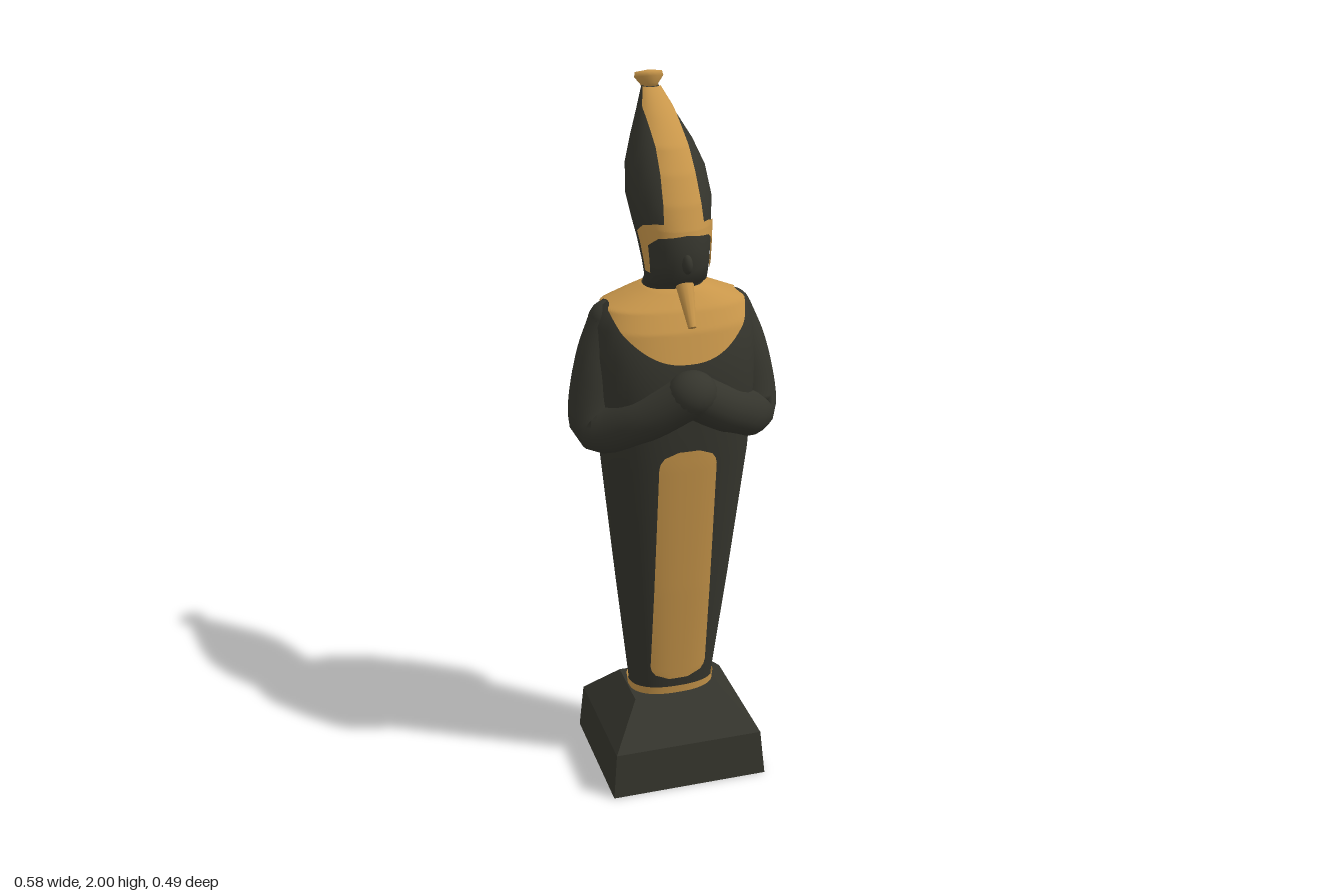
import * as THREE from 'three';
import { mergeVertices } from 'three/addons/utils/BufferGeometryUtils.js';

const dark = new THREE.MeshStandardMaterial({ color: 0x35352d });
dark.name = 'dark bronze';
const gold = new THREE.MeshStandardMaterial({ color: 0xc8964a, side: THREE.DoubleSide });
gold.name = 'gold';

const { lerp, clamp, degToRad } = THREE.MathUtils;

// Cross-sections: [y, half width, front z, back z]
const BODY = [
  [0.22, 0.118, 0.056, -0.098], [0.25, 0.12, 0.06, -0.1], [0.6, 0.16, 0.108, -0.11],
  [1.0, 0.203, 0.157, -0.12], [1.2, 0.215, 0.175, -0.12], [1.3, 0.217, 0.165, -0.12],
  [1.38, 0.212, 0.142, -0.113], [1.43, 0.19, 0.112, -0.1], [1.457, 0.125, 0.085, -0.075],
  [1.475, 0.08, 0.068, -0.055], [1.48, 0.06, 0.05, -0.04],
];
const HEAD = [
  [1.45, 0.078, 0.06, -0.052], [1.49, 0.08, 0.066, -0.046], [1.505, 0.081, 0.122, -0.046],
  [1.55, 0.086, 0.138, -0.07], [1.6, 0.092, 0.14, -0.105], [1.65, 0.1, 0.13, -0.143],
  [1.71, 0.109, 0.107, -0.17], [1.78, 0.101, 0.067, -0.188], [1.84, 0.078, 0.018, -0.201],
  [1.9, 0.048, -0.075, -0.213], [1.955, 0.022, -0.172, -0.218],
];

// Interpolates a table of rows at the key held in its first column
function sample(table, key) {
  let i = 0;
  while (i < table.length - 2 && key > table[i + 1][0]) i++;
  const a = table[i], b = table[i + 1];
  const t = clamp((key - a[0]) / (b[0] - a[0]), 0, 1);
  return a.map((v, k) => lerp(v, b[k], t));
}

// Point on a superellipse loft; angle 90 degrees is the front
function surface(sections, power, angle, y, off = 0) {
  const [, w, front, back] = sample(sections, y);
  const bend = (v) => Math.sign(v) * Math.abs(v) ** (2 / power);
  return [
    (w + off) * bend(Math.cos(angle)),
    y + off * 0.5,
    (front + back) / 2 + ((front - back) / 2 + off) * bend(Math.sin(angle)),
  ];
}

function smooth(geo) {
  geo.deleteAttribute('uv');
  geo.deleteAttribute('normal');
  const merged = mergeVertices(geo, 1e-5);
  merged.computeVertexNormals();
  return merged;
}

// Sheet of quads from a rule point(column, row)
function sheet(cols, rows, point) {
  const pos = [], index = [];
  for (let r = 0; r <= rows; r++) for (let c = 0; c <= cols; c++) pos.push(...point(c, r));
  for (let r = 0; r < rows; r++) for (let c = 0; c < cols; c++) {
    const a = r * (cols + 1) + c, b = a + 1, d = a + cols + 1;
    index.push(a, d, b, d, d + 1, b);
  }
  const geo = new THREE.BufferGeometry();
  geo.setAttribute('position', new THREE.Float32BufferAttribute(pos, 3));
  geo.setIndex(index);
  return smooth(geo);
}

const loft = (sections, power) => sheet(64, sections.length - 1, (c, r) =>
  surface(sections, power, (c / 64) * Math.PI * 2, sections[r][0]));

// Thin vertical strip lying on a loft, half width given by a rule of y
function strip(sections, power, y0, y1, halfWidth, side) {
  return sheet(16, 48, (c, r) => {
    const y = lerp(y0, y1, r / 48);
    const w = sample(sections, y)[1];
    const x = clamp(halfWidth(y) / w, 0, 0.9) * (1 - c / 8);
    const angle = Math.acos(Math.sign(x) * Math.abs(x) ** (power / 2));
    return surface(sections, power, side > 0 ? angle : angle + Math.PI, y, 0.004);
  });
}

// Tube whose radius follows a list along its length
function limb(points, radii) {
  const curve = new THREE.CatmullRomCurve3(points.map((p) => new THREE.Vector3(...p)));
  const n = 28, sides = 18;
  const geo = new THREE.TubeGeometry(curve, n, 1, sides);
  const table = radii.map((r, i) => [i / (radii.length - 1), r]);
  const p = geo.attributes.position, v = new THREE.Vector3();
  for (let i = 0; i < p.count; i++) {
    const u = Math.floor(i / (sides + 1)) / n;
    const centre = curve.getPointAt(u);
    v.fromBufferAttribute(p, i).sub(centre).multiplyScalar(sample(table, u)[1]).add(centre);
    p.setXYZ(i, v.x, v.y, v.z);
  }
  return smooth(geo);
}

export function createModel() {
  const model = new THREE.Group();
  model.name = 'statuette';
  const add = (name, geo, mat, parent = model) => {
    const mesh = new THREE.Mesh(geo, mat);
    mesh.name = name;
    parent.add(mesh);
    return mesh;
  };

  // Plinth: a box whose three levels are resized
  const levels = [[0, 0.227, 0.188, -0.216], [0.135, 0.215, 0.178, -0.206], [0.24, 0.128, 0.066, -0.106]];
  const box = new THREE.BoxGeometry(1, 1, 1, 1, 2, 1);
  const bp = box.attributes.position;
  for (let i = 0; i < bp.count; i++) {
    const [y, w, f, b] = levels[Math.round((bp.getY(i) + 0.5) * 2)];
    bp.setXYZ(i, Math.sign(bp.getX(i)) * w, y, bp.getZ(i) > 0 ? f : b);
  }
  const plinthGeo = box.toNonIndexed();
  plinthGeo.computeVertexNormals();
  add('plinth', plinthGeo, dark);

  // Wrapped body with gold inlays
  add('body', loft(BODY, 2.4), dark);
  add('ankleBand', sheet(64, 2, (c, r) =>
    surface(BODY, 2.4, (c / 64) * Math.PI * 2, 0.232 + r * 0.015, 0.005)), gold);
  const panelWidth = (y0, y1, corner, least) => (y) => {
    const e = clamp(Math.min(y - y0, y1 - y) / corner, 0, 1);
    return 0.079 * (least + (1 - least) * Math.sqrt(1 - (1 - e) ** 2));
  };
  add('frontPanel', strip(BODY, 2.4, 0.29, 1.05, panelWidth(0.29, 1.05, 0.05, 0.35), 1), gold);
  add('backPanel', strip(BODY, 2.4, 0.3, 1.09, panelWidth(0.3, 1.09, 0.03, 0.75), -1), gold);

  // Broad collar, hanging low at front and back
  add('collar', sheet(96, 30, (c, r) => {
    const angle = (c / 96) * Math.PI * 2;
    const low = 1.438 - 0.138 * Math.abs(Math.sin(angle)) ** 2.3;
    return surface(BODY, 2.4, angle, lerp(low, 1.476, r / 30), 0.005);
  }), gold);

  // Folded arms
  for (const s of [1, -1]) {
    const arm = new THREE.Group();
    arm.name = s > 0 ? 'leftArm' : 'rightArm';
    model.add(arm);
    add('sleeve', limb(
      [[0.168 * s, 1.378, -0.012], [0.203 * s, 1.27, 0], [0.217 * s, 1.1, 0.03],
        [0.12 * s, 1.145, 0.12], [0, 1.225, 0.187]],
      [0.058, 0.066, 0.07, 0.066, 0.06]), dark, arm);
    add('shoulder', new THREE.SphereGeometry(0.058, 20, 14), dark, arm)
      .position.set(0.168 * s, 1.378, -0.012);
  }
  const hands = add('hands', new THREE.SphereGeometry(1, 20, 14), dark);
  hands.scale.set(0.068, 0.062, 0.062);
  hands.position.set(0, 1.228, 0.187);

  // Head and tall crown in one sweep
  add('headAndCrown', loft(HEAD, 2.1), dark);
  const nose = add('nose', new THREE.SphereGeometry(1, 10, 8), dark);
  nose.scale.set(0.014, 0.026, 0.02);
  nose.position.set(0, 1.567, 0.141);

  // Gold stripe and brow band with side lappets
  add('crownStripe', strip(HEAD, 2.1, 1.65, 1.953, (y) => lerp(0.052, 0.036, (y - 1.65) / 0.3), 1), gold);
  // Rows: [angle from the front, lower y, upper y]
  const band = [[0, 1.64, 1.668], [40, 1.63, 1.665], [62, 1.605, 1.655], [66, 1.53, 1.65], [82, 1.53, 1.63]];
  add('browBand', sheet(82, 12, (c, r) => {
    const a = c * 2 - 82;
    const [, low, high] = sample(band, Math.abs(a));
    return surface(HEAD, 2.1, degToRad(90 + a), lerp(low, high, r / 12), 0.004);
  }), gold);

  // Crown knob
  const profile = [[0, 0], [0.02, 0], [0.025, 0.012], [0.039, 0.03], [0.036, 0.043], [0, 0.047]];
  const knob = add('crownKnob', new THREE.LatheGeometry(profile.map((p) => new THREE.Vector2(...p)), 16), gold);
  knob.position.set(0, 1.945, -0.199);
  knob.rotation.x = -0.25;

  // False beard, leaning forward
  const beard = add('beard', new THREE.CylinderGeometry(0.024, 0.011, 0.115, 12), gold);
  beard.position.set(0, 1.458, 0.153);
  beard.rotation.x = -0.62;

  return model;
}
